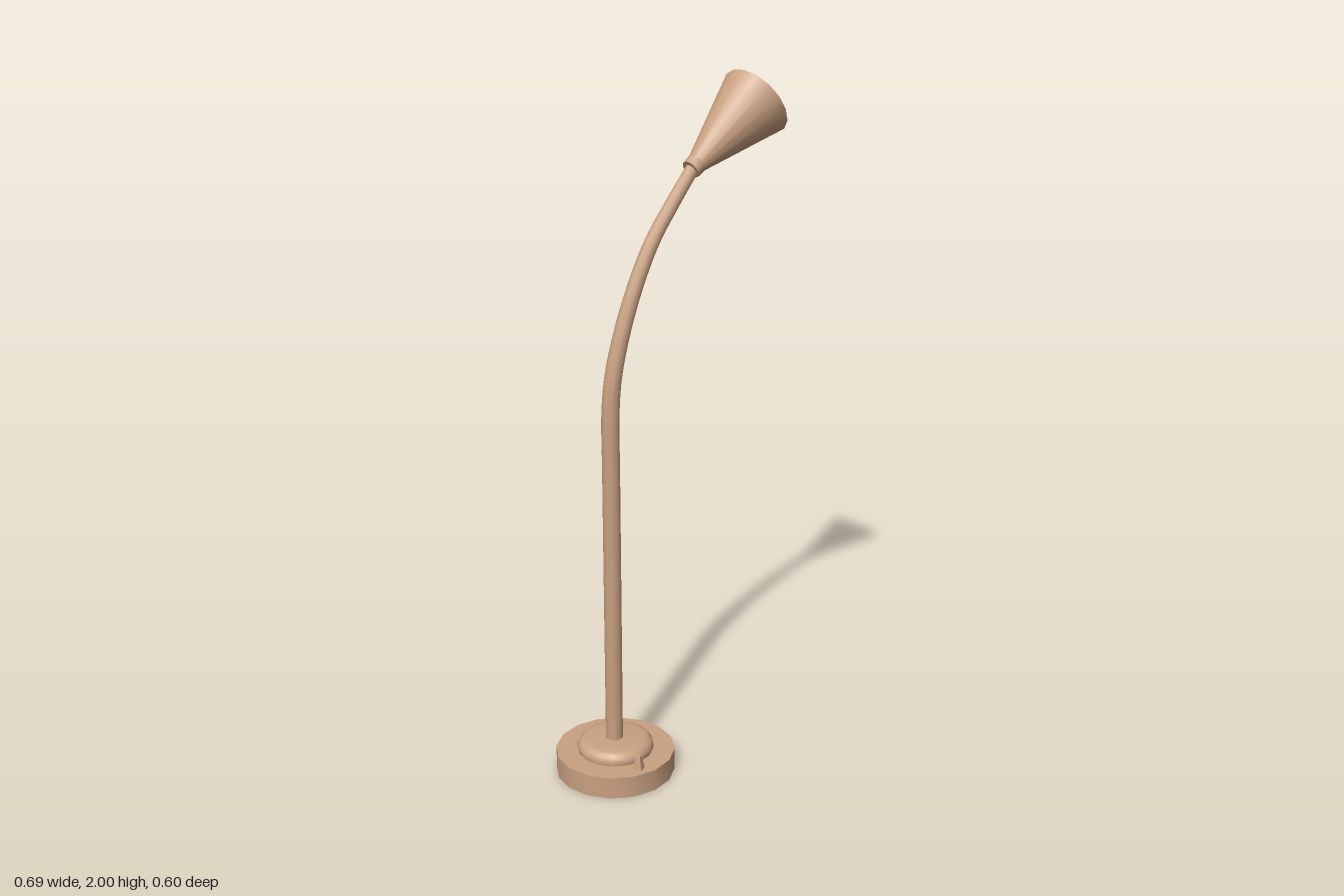
import * as THREE from 'three';
import { toCreasedNormals } from 'three/addons/utils/BufferGeometryUtils.js';

const material = new THREE.MeshStandardMaterial({ color: 0xc8a080 });

const BASE_X = -0.172, BASE_Z = 0.125;
const POLE_X = -0.175, POLE_Z = 0.13;

// Turned part with crisp edges; profile runs from bottom to top.
function turned(profile, sides, phase = 0) {
  const pts = profile.map(([r, y]) => new THREE.Vector2(r, y));
  return toCreasedNormals(new THREE.LatheGeometry(pts, sides, phase), 0.6);
}

// Gooseneck pole: a tube that thins gradually along its bent upper part.
function taperedTube(curve, radius, segments, sides) {
  const geo = new THREE.TubeGeometry(curve, segments, radius, sides);
  const pos = geo.attributes.position;
  const v = new THREE.Vector3();
  for (let i = 0; i <= segments; i++) {
    const c = curve.getPointAt(i / segments);
    const k = 1 - 0.25 * Math.max(0, (c.y - 1.1) / 0.65);
    for (let j = 0; j <= sides; j++) {
      const n = i * (sides + 1) + j;
      v.fromBufferAttribute(pos, n).sub(c).multiplyScalar(k).add(c);
      pos.setXYZ(n, v.x, v.y, v.z);
    }
  }
  return geo;
}

export function createModel() {
  const model = new THREE.Group();
  const add = (name, geo, parent = model) => {
    const mesh = new THREE.Mesh(geo, material);
    mesh.name = name;
    parent.add(mesh);
    return mesh;
  };

  // Weighted foot
  add('base', turned([[0, 0], [0.176, 0], [0.176, 0.066], [0, 0.066]], 16, -0.13))
    .position.set(BASE_X, 0, BASE_Z);

  // Rounded cap on the foot
  const cap = [[0.11, 0.06], [0.114, 0.074]];
  for (let i = 1; i <= 5; i++) {
    const a = (i / 5) * Math.PI / 2;
    cap.push([0.084 + 0.03 * Math.cos(a), 0.074 + 0.029 * Math.sin(a)]);
  }
  cap.push([0.03, 0.106], [0, 0.106]);
  add('baseCap', turned(cap, 16, -0.13)).position.set(BASE_X, 0, BASE_Z);

  // Switch: a small tapered nub
  const nub = new THREE.CylinderGeometry(0.009, 0.02, 0.045, 4, 2);
  const nubMesh = add('switch', toCreasedNormals(nub, 0.6));
  nubMesh.position.set(-0.111, 0.083, 0.25);
  nubMesh.rotation.y = 0.3;

  // Pole: straight, then bending forward; pairs are reach and height
  const end = new THREE.Vector3(0.07, 1.755, -0.056);
  const reach = Math.hypot(end.x - POLE_X, end.z - POLE_Z);
  const dx = (end.x - POLE_X) / reach, dz = (end.z - POLE_Z) / reach;
  const path = [[0, 0.06], [0, 0.5], [0, 0.95], [0, 1.1], [0.013, 1.22], [0.07, 1.4],
    [0.15, 1.56], [0.235, 1.67], [reach, end.y]];
  const curve = new THREE.CatmullRomCurve3(path.map(([s, y]) =>
    new THREE.Vector3(POLE_X + s * dx, y, POLE_Z + s * dz)));
  add('pole', taperedTube(curve, 0.026, 48, 10));

  // Lamp head, built along +y and then aimed
  const head = new THREE.Group();
  head.name = 'lampHead';
  const axis = new THREE.Vector3(0.19, 0.158, -0.147).normalize();
  head.position.copy(end);
  head.quaternion.setFromUnitVectors(new THREE.Vector3(0, 1, 0), axis);
  model.add(head);

  add('collar', turned([[0, -0.012], [0.028, -0.012], [0.03, 0.024], [0, 0.024]], 12), head);

  // Shade: hollow cone with a flat rim
  add('shade', turned([[0, 0.012], [0.028, 0.012], [0.111, 0.285], [0.098, 0.285],
    [0.02, 0.035], [0, 0.035]], 16), head);

  return model;
}
